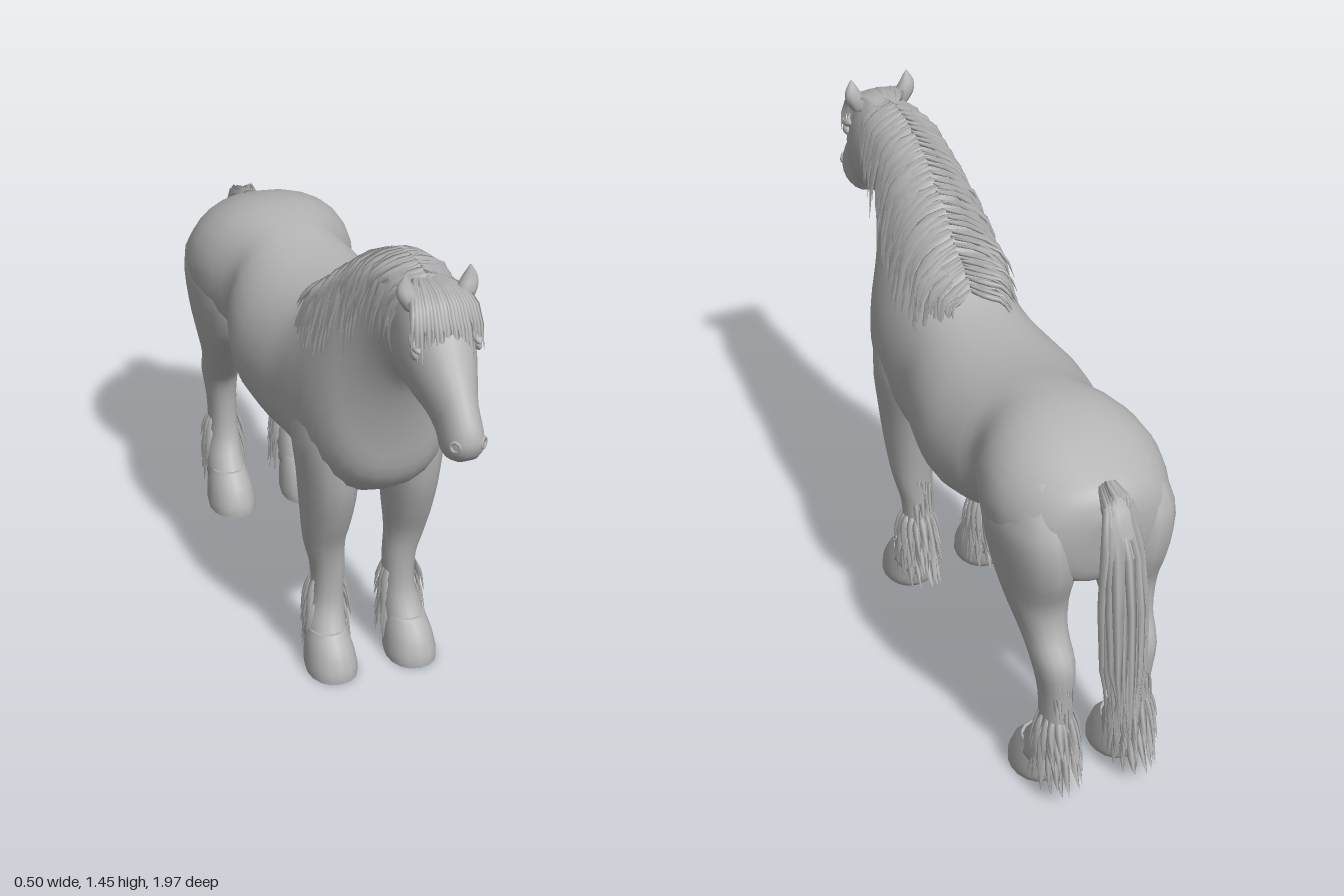
import * as THREE from 'three';
import { mergeGeometries, toCreasedNormals } from 'three/addons/utils/BufferGeometryUtils.js';

const V = (x, y, z) => new THREE.Vector3(x, y, z);
const coat = new THREE.MeshStandardMaterial({ color: 0xb4b4b4 });
coat.name = 'grey coat';

let seed = 7;
const rnd = (a = 0, b = 1) => {
  seed = (seed * 16807) % 2147483647;
  return a + (b - a) * (seed / 2147483647);
};
const lerp = THREE.MathUtils.lerp;

// Closed skin over a list of rings, turned so that it faces outwards
function skin(rings) {
  const n = rings[0].length, m = rings.length, idx = [];
  const pts = rings.flat();
  for (let i = 0; i < m - 1; i++) {
    for (let j = 0; j < n; j++) {
      const a = i * n + j, b = i * n + (j + 1) % n;
      idx.push(a, b, a + n, b, b + n, a + n);
    }
  }
  for (const [i, flip] of [[0, true], [m - 1, false]]) {
    const c = rings[i].reduce((s, p) => s.add(p), V(0, 0, 0)).divideScalar(n);
    const k = pts.push(c) - 1;
    for (let j = 0; j < n; j++) {
      const a = i * n + j, b = i * n + (j + 1) % n;
      if (flip) idx.push(k, b, a); else idx.push(k, a, b);
    }
  }
  let volume = 0;
  const o = pts[0], d = (k) => pts[k].clone().sub(o);
  for (let i = 0; i < idx.length; i += 3) volume += d(idx[i]).dot(d(idx[i + 1]).cross(d(idx[i + 2])));
  if (volume < 0) idx.reverse();
  const g = new THREE.BufferGeometry().setFromPoints(pts);
  g.setIndex(idx);
  g.computeVertexNormals();
  return g;
}

// Smoothly subdivide rows of numbers
function smoothRows(rows, steps) {
  const out = [], at = (i) => rows[Math.min(Math.max(i, 0), rows.length - 1)];
  const spline = (a, b, c, d, t) => b + 0.5 * t * (c - a + t * (2 * a - 5 * b + 4 * c - d + t * (3 * (b - c) + d - a)));
  for (let i = 0; i < rows.length - 1; i++) {
    for (let s = 0; s < steps; s++) {
      out.push(rows[i].map((v, k) => spline(at(i - 1)[k], v, at(i + 1)[k], at(i + 2)[k], s / steps)));
    }
  }
  out.push(rows.at(-1));
  return out;
}

// Row: zTop, yTop, zBottom, yBottom, half width, bottom heaviness, x centre
function loft(rows, { side = 1, n = 20, steps = 3, full = 0.88 } = {}) {
  const filled = rows.map(([a, b, c, d, w, k = 0, x = 0]) => [a, b, c, d, w, k, x]);
  return skin(smoothRows(filled, steps).map(([zA, yA, zB, yB, w, k, x]) =>
    Array.from({ length: n }, (_, j) => {
      const a = (j / n) * Math.PI * 2, s = Math.sin(a), c = Math.cos(a);
      const wide = Math.sign(c) * Math.abs(c) ** full;
      const t = (1 - s) / 2;
      return V(side * (x + w * wide * (1 - k * s)), lerp(yA, yB, t), lerp(zA, zB, t));
    })));
}

// Flat pointed lock of hair along a curve
function lock(points, width, out) {
  const curve = new THREE.CatmullRomCurve3(points);
  const taper = [0.55, 1, 1.05, 0.9, 0.6, 0.04];
  return skin(taper.map((f, i) => {
    const p = curve.getPoint(i / 5), t = curve.getTangent(i / 5);
    const s = t.clone().cross(out).normalize(), u = s.clone().cross(t).normalize();
    s.multiplyScalar(width * f);
    u.multiplyScalar(width * f * 0.4);
    return [p.clone().add(s), p.clone().add(u), p.clone().sub(s), p.clone().sub(u)];
  }));
}

const BODY = [
  [-0.825, 0.93, -0.81, 0.8, 0.05], [-0.8, 0.99, -0.79, 0.72, 0.14],
  [-0.74, 1.025, -0.74, 0.69, 0.205], [-0.62, 1.075, -0.62, 0.68, 0.245],
  [-0.5, 1.095, -0.5, 0.67, 0.235], [-0.38, 1.083, -0.38, 0.655, 0.195],
  [-0.28, 1.062, -0.3, 0.62, 0.225], [-0.16, 1.047, -0.18, 0.585, 0.248],
  [-0.04, 1.05, -0.04, 0.57, 0.235], [0.06, 1.07, 0.1, 0.565, 0.21],
  [0.14, 1.115, 0.27, 0.575, 0.205, 0.1], [0.21, 1.175, 0.41, 0.63, 0.195, 0.18],
  [0.29, 1.24, 0.485, 0.71, 0.17, 0.22], [0.38, 1.31, 0.515, 0.83, 0.132, 0.25],
  [0.46, 1.355, 0.55, 0.95, 0.105, 0.2], [0.54, 1.385, 0.595, 1.05, 0.09, 0.1],
  [0.62, 1.39, 0.655, 1.12, 0.08],
];
const HEAD = [
  [0.6, 1.37, 0.6, 1.15, 0.07], [0.7, 1.398, 0.64, 1.11, 0.09], [0.78, 1.38, 0.69, 1.095, 0.095],
  [0.84, 1.32, 0.76, 1.085, 0.087], [0.89, 1.25, 0.82, 1.07, 0.068], [0.94, 1.185, 0.85, 1.04, 0.054],
  [0.985, 1.125, 0.87, 1.015, 0.053], [0.998, 1.08, 0.91, 1.01, 0.045], [0.985, 1.045, 0.95, 1.018, 0.022],
];
const FRONT_LEG = [
  [0.37, 0.92, 0.16, 0.92, 0.04, 0, 0.13], [0.41, 0.78, 0.13, 0.78, 0.085, 0, 0.125],
  [0.4, 0.62, 0.15, 0.64, 0.08, 0, 0.12], [0.36, 0.5, 0.17, 0.5, 0.07, 0, 0.12],
  [0.315, 0.4, 0.185, 0.39, 0.058, 0, 0.12], [0.295, 0.31, 0.19, 0.3, 0.048, 0, 0.108],
  [0.29, 0.21, 0.185, 0.2, 0.046, 0, 0.108], [0.31, 0.15, 0.17, 0.13, 0.055, 0, 0.115],
  [0.345, 0.1, 0.17, 0.08, 0.06, 0, 0.12],
];
const HIND_LEG = [
  [-0.52, 1.0, -0.72, 1.0, 0.04, 0, 0.13], [-0.42, 0.86, -0.8, 0.88, 0.095, 0, 0.145],
  [-0.44, 0.71, -0.8, 0.74, 0.098, 0, 0.135], [-0.53, 0.59, -0.755, 0.62, 0.08, 0, 0.13],
  [-0.61, 0.49, -0.765, 0.53, 0.06, 0, 0.125], [-0.665, 0.42, -0.81, 0.45, 0.055, 0, 0.12],
  [-0.685, 0.33, -0.805, 0.34, 0.045, 0, 0.115], [-0.68, 0.22, -0.8, 0.22, 0.046, 0, 0.112],
  [-0.64, 0.15, -0.8, 0.14, 0.055, 0, 0.118], [-0.6, 0.1, -0.77, 0.08, 0.06, 0, 0.12],
];
const hoofRows = (z) => [
  [z - 0.065, 0.125, z - 0.21, 0.115, 0.054, 0, 0.12], [z - 0.025, 0.08, z - 0.205, 0.07, 0.066, 0, 0.12],
  [z - 0.002, 0.03, z - 0.195, 0.02, 0.073, 0, 0.12], [z, 0, z - 0.18, 0, 0.072, 0, 0.12],
];

// Herringbone mane falling to both sides of the crest
function maneLocks() {
  const locks = [];
  const crest = new THREE.CatmullRomCurve3([V(0, 1.39, 0.7), V(0, 1.4, 0.6), V(0, 1.37, 0.47),
    V(0, 1.31, 0.36), V(0, 1.23, 0.26), V(0, 1.15, 0.17), V(0, 1.085, 0.08)]);
  const lengths = [0.16, 0.21, 0.27, 0.34, 0.34, 0.2, 0.06], reach = [0.1, 0.115, 0.135, 0.16, 0.175, 0.165, 0.09];
  for (let i = 0; i < 34; i++) {
    const t = i / 33, f = Math.min(t * 6, 5.999), k = Math.floor(f);
    const L = lerp(lengths[k], lengths[k + 1], f - k), X = lerp(reach[k], reach[k + 1], f - k);
    const c = crest.getPoint(t);
    for (const s of [-1, 1]) for (const layer of [1, 0.78, 0.5]) {
      const l = L * layer * rnd(0.85, 1.12), x = X * (0.72 + 0.28 * layer) * rnd(0.94, 1.04) + 0.012 * (1 - layer);
      const z = c.z + rnd(-0.012, 0.012), drift = rnd(0.0, 0.05) + (t > 0.75 ? 0.04 : 0);
      locks.push(lock([V(0, c.y + 0.008, z), V(s * x * 0.5, c.y - 0.05 * l - 0.008, z - drift * 0.3),
        V(s * x * 0.86, c.y - l * 0.42, z - drift * 0.6), V(s * x, c.y - l, z - drift)],
      rnd(0.013, 0.021), V(s, 0.5, 0)));
    }
  }
  return mergeGeometries(locks);
}

function forelockLocks() {
  const locks = [];
  for (let i = 0; i < 20; i++) {
    const x = lerp(-0.085, 0.085, i / 19), l = rnd(0.7, 1.1), drop = 1.2 * x * x;
    locks.push(lock([V(x * 0.4, 1.395, 0.68), V(x * 0.8, 1.4 - drop, 0.76), V(x, 1.365 - drop, 0.82 - drop),
      V(x * 1.1, 1.37 - 0.13 * l, 0.8 + 0.07 * l - 4 * x * x)], rnd(0.01, 0.016), V(x * 4, 0.6, 1)));
  }
  return mergeGeometries(locks);
}

// Tail hair arching off the dock and hanging in a bundle
function tailLocks() {
  const locks = [];
  for (let i = 0; i < 60; i++) {
    const a = i * 2.4, r = Math.sqrt((i + 1) / 60), dx = Math.cos(a) * r, dz = Math.sin(a) * r;
    const x = dx * 0.062, end = rnd(0.25, 0.45);
    locks.push(lock([V(dx * 0.025, 1.0 - 0.015 * dz, -0.78), V(x * 0.7, 0.965 - dz * 0.03, -0.86 - dz * 0.025),
      V(x, 0.8, -0.885 - dz * 0.05), V(x * 1.1, 0.55, -0.9 - dz * 0.062), V(x * rnd(0.6, 1.1), end, -0.91 - dz * 0.06)],
    rnd(0.011, 0.018), V(dx, 0.1, -dz - 0.2)));
  }
  return mergeGeometries(locks);
}

// Long hair around the fetlock; z is the back of the leg
function featherLocks(side, z, hind) {
  const locks = [];
  for (let row = 0; row < 4; row++) for (let i = 0; i < 11; i++) {
    const a = lerp(-1.9, 1.9, i / 10) + rnd(-0.1, 0.1), sx = Math.sin(a), cz = Math.cos(a);
    const y = 0.27 - row * 0.04, l = rnd(0.09, 0.14), cx = 0.112;
    const at = (r, yy, back) => V(side * cx + sx * r, yy, z + 0.055 - cz * (r + back));
    locks.push(lock([at(0.045, y, 0.005), at(0.06, y - l * 0.4, 0.01),
      at(0.068, Math.max(y - l, 0.04), 0.025 + rnd(0, 0.02))], rnd(0.008, 0.014), V(sx, 0.2, -cz)));
  }
  // Short tufts up the back of the cannon
  for (let i = 0; i < 8; i++) {
    const y = 0.3 + i * 0.02, x = side * 0.115 + rnd(-0.025, 0.025), b = z + (hind ? 0.008 : 0.012);
    locks.push(lock([V(x, y + 0.03, b), V(x, y - 0.01, b - 0.008), V(x, y - 0.06, b - 0.02)], 0.009, V(0, 0.2, -1)));
  }
  return mergeGeometries(locks);
}

export function createModel() {
  const model = new THREE.Group();
  model.name = 'horse';
  const add = (name, geometry, parent = model) => {
    const mesh = new THREE.Mesh(geometry, coat);
    mesh.name = name;
    parent.add(mesh);
    return mesh;
  };

  add('bodyAndNeck', loft(BODY, { n: 28 }));
  add('head', loft(HEAD));
  add('mane', maneLocks());
  add('forelock', forelockLocks());
  add('tail', tailLocks());
  add('tailCore', loft([[-0.78, 1.005, -0.78, 0.93, 0.03], [-0.87, 0.98, -0.83, 0.9, 0.04],
    [-0.92, 0.8, -0.85, 0.78, 0.045], [-0.94, 0.55, -0.86, 0.55, 0.045], [-0.93, 0.4, -0.89, 0.4, 0.02]], { n: 10 }));
  add('sheath', new THREE.SphereGeometry(1, 14, 10).scale(0.03, 0.035, 0.065).translate(0, 0.645, -0.4));

  for (const side of [1, -1]) {
    const tag = side > 0 ? 'left' : 'right';
    // Cupped leaf-shaped ear
    add(tag + 'Ear', loft([[0.775, 1.355, 0.735, 1.355, 0.022, 0, 0.065], [0.775, 1.39, 0.73, 1.385, 0.028, 0, 0.077],
      [0.765, 1.42, 0.735, 1.415, 0.021, 0, 0.085], [0.757, 1.45, 0.752, 1.45, 0.002, 0, 0.085]], { side, n: 10 }));
    add(tag + 'Eye', new THREE.SphereGeometry(1, 12, 8).scale(0.01, 0.014, 0.02).translate(side * 0.083, 1.262, 0.815));
    add(tag + 'Brow', new THREE.SphereGeometry(1, 12, 8).scale(0.014, 0.012, 0.034).rotateX(0.35).translate(side * 0.08, 1.287, 0.81));
    add(tag + 'Nostril', new THREE.TorusGeometry(0.013, 0.005, 6, 12).rotateY(side * 0.8).translate(side * 0.037, 1.08, 0.978));

    for (const [name, rows, toe, back] of [['Front', FRONT_LEG, 0.4, 0.185], ['Hind', HIND_LEG, -0.545, -0.8]]) {
      const leg = new THREE.Group();
      leg.name = tag + name + 'Leg';
      add('limb', loft(rows, { side, n: 16 }), leg);
      add('hoof', toCreasedNormals(loft(hoofRows(toe), { side, n: 16 }), 0.8), leg);
      add('feather', featherLocks(side, back, name === 'Hind'), leg);
      model.add(leg);
    }
  }
  return model;
}
